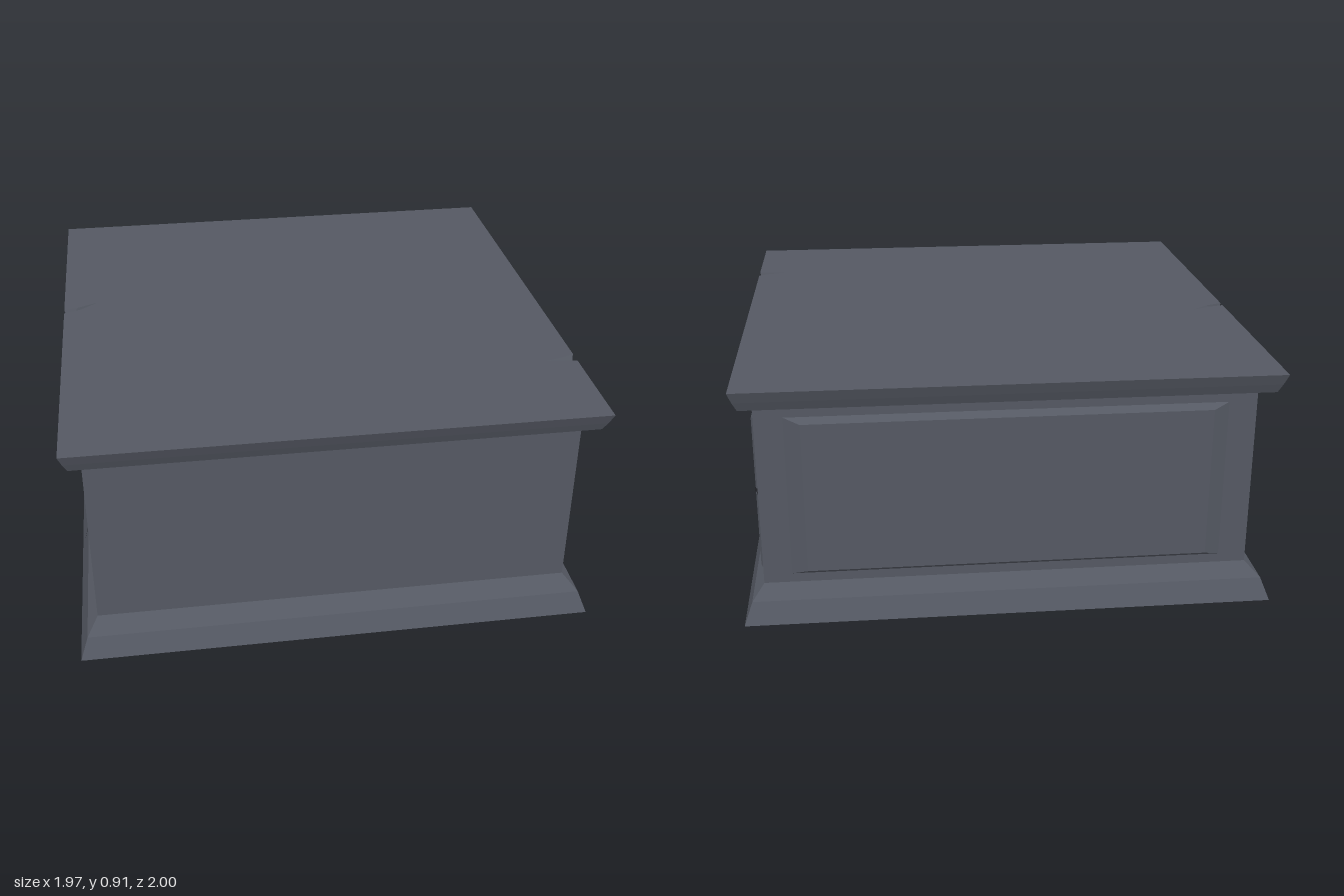
import * as THREE from 'three';

const stone = new THREE.MeshStandardMaterial({ color: 0x545862 });
stone.name = 'slateStone';
const crackDark = new THREE.MeshStandardMaterial({ color: 0x2d2f35, side: THREE.DoubleSide });
crackDark.name = 'crackDark';

// Rectangle loop, counter-clockwise from above
const rect = (hx, hz, y) => [[-hx, y, hz], [hx, y, hz], [hx, y, -hz], [-hx, y, -hz]];

// Flat-shaded skin through matching loops, optionally closed at either end
function loft(name, loops, closeBottom, closeTop) {
  const pos = [];
  const tri = (...pts) => {
    const [a, b, c] = pts.map((p) => new THREE.Vector3(...p));
    if (b.clone().sub(a).cross(c.clone().sub(a)).length() > 1e-7) pts.forEach((p) => pos.push(...p));
  };
  for (let k = 0; k < loops.length - 1; k++) {
    const a = loops[k], b = loops[k + 1];
    a.forEach((p, i) => {
      const j = (i + 1) % a.length;
      tri(p, a[j], b[j]);
      tri(p, b[j], b[i]);
    });
  }
  const close = (loop, up) => {
    const outline = loop.map((p) => new THREE.Vector2(p[0], -p[2]));
    for (const [a, b, c] of THREE.ShapeUtils.triangulateShape(outline, [])) {
      if (up) tri(loop[a], loop[b], loop[c]);
      else tri(loop[a], loop[c], loop[b]);
    }
  };
  if (closeBottom) close(loops[0], false);
  if (closeTop) close(loops[loops.length - 1], true);
  const g = new THREE.BufferGeometry();
  g.setAttribute('position', new THREE.Float32BufferAttribute(pos, 3));
  g.computeVertexNormals();
  const mesh = new THREE.Mesh(g, stone);
  mesh.name = name;
  return mesh;
}

// Chips in the cap rim, as top-surface outlines [x, z]
const rightChip = [[0.985, 0.59], [0.87, 0.575], [0.94, 0.555], [0.985, 0.535]];
const leftChip = [[-0.985, -0.13], [-0.93, -0.145], [-0.85, -0.18], [-0.92, -0.125], [-0.985, -0.1]];

// Cap loop: the chips open only at the top level and close to a point below it
function capLoop(hx, hz, y, open) {
  const [a, b, c, d] = rect(hx, hz, y);
  const chip = (pts, x, z) => pts.map((p) => (open ? [p[0], y, p[1]] : [x, y, z]));
  return [a, b, ...chip(rightChip, hx, 0.575), c, d, ...chip(leftChip, -hx, -0.115)];
}

// Tapered ribbon lying on a surface: points [x, y, z, halfWidth], widened along one axis
function crack(name, points, axis) {
  const pos = [], index = [];
  points.forEach((p, i) => {
    for (const s of [-1, 1]) {
      const q = p.slice(0, 3);
      q[axis] += s * p[3];
      pos.push(...q);
    }
    if (i) index.push(2 * i - 2, 2 * i - 1, 2 * i, 2 * i - 1, 2 * i + 1, 2 * i);
  });
  const g = new THREE.BufferGeometry();
  g.setAttribute('position', new THREE.Float32BufferAttribute(pos, 3));
  g.setIndex(index);
  g.computeVertexNormals();
  const mesh = new THREE.Mesh(g, crackDark);
  mesh.name = name;
  return mesh;
}

export function createModel() {
  const model = new THREE.Group();
  model.name = 'stonePedestal';

  // Flared foot, plain block and flared cap
  model.add(loft('base', [rect(0.985, 1, 0), rect(0.955, 0.965, 0.08), rect(0.915, 0.88, 0.11)], true, false));
  model.add(loft('body', [rect(0.915, 0.88, 0.11), rect(0.915, 0.88, 0.805)], false, false));
  model.add(loft('cap', [
    capLoop(0.915, 0.88, 0.805, false),
    capLoop(0.957, 0.965, 0.833, false),
    capLoop(0.971, 0.982, 0.868, false),
    capLoop(0.985, 1, 0.91, true),
  ], false, true));

  // Raised bevelled panels on the +x side and the back
  const sidePanel = loft('sidePanel', [rect(0.308, 0.845, 0), rect(0.295, 0.83, 0.011)], false, true);
  sidePanel.rotation.z = -Math.PI / 2;
  sidePanel.position.set(0.915, 0.457, 0);
  const backPanel = loft('backPanel', [rect(0.81, 0.312, 0), rect(0.75, 0.292, 0.026)], false, true);
  backPanel.rotation.x = -Math.PI / 2;
  backPanel.position.set(0, 0.457, -0.88);
  model.add(sidePanel, backPanel);

  // Crack running across the side panel to the back corner
  model.add(crack('panelCrack', [
    [0.929, 0.469, -0.635, 0.001], [0.929, 0.48, -0.72, 0.008],
    [0.929, 0.473, -0.83, 0.008], [0.918, 0.473, -0.845, 0.007], [0.918, 0.478, -0.88, 0.007],
  ], 1));

  // Branching crack on the -x side, running down over the foot
  model.add(crack('sideCrack', [
    [-0.918, 0.52, 0.04, 0.001], [-0.918, 0.37, 0.08, 0.007], [-0.918, 0.25, 0.21, 0.01],
    [-0.918, 0.112, 0.25, 0.008], [-0.958, 0.083, 0.28, 0.008], [-0.972, 0.045, 0.3, 0.001],
  ], 2));
  model.add(crack('sideCrackBranch', [
    [-0.918, 0.37, 0.08, 0.006], [-0.918, 0.345, 0.04, 0.005], [-0.918, 0.335, -0.06, 0.001],
  ], 1));

  return model;
}
